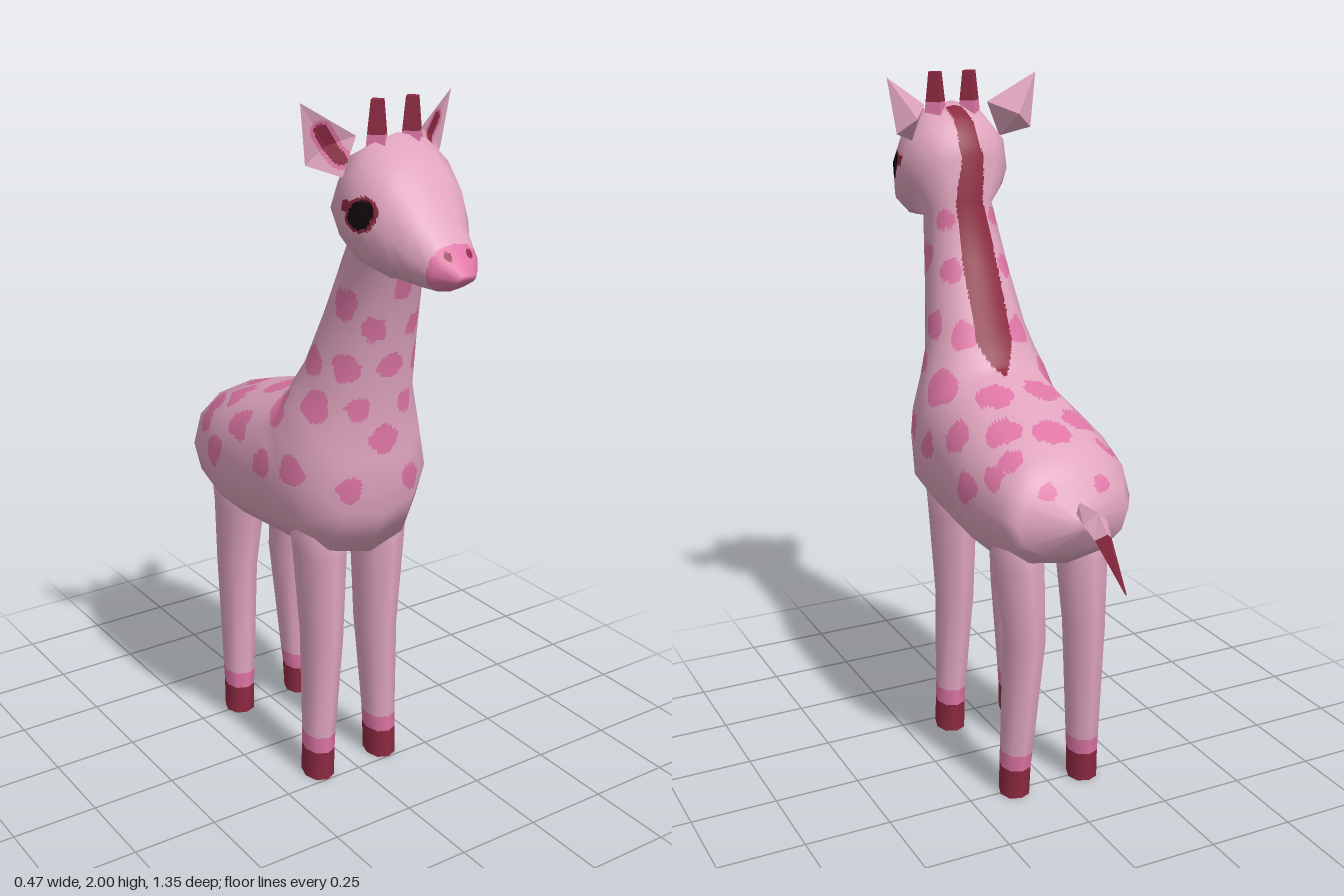
import * as THREE from 'three';

const mat = (name, color) => Object.assign(new THREE.MeshStandardMaterial({ color }), { name });
const SKIN = 0, SPOT = 1, DARK = 2, BLACK = 3;

// Skin through rings [topZ, topY, bottomZ, bottomY, halfWidth, centreX], closed at both ends
function loft(rings, sides, power = 1) {
  const pos = [], idx = [];
  const pw = (v) => Math.sign(v) * Math.abs(v) ** power;
  for (const [zt, yt, zb, yb, w, x = 0] of rings) {
    for (let j = 0; j < sides; j++) {
      const a = (j / sides) * Math.PI * 2, t = pw(Math.cos(a)) / 2;
      pos.push(x + w * pw(Math.sin(a)), (yt + yb) / 2 + (yt - yb) * t, (zt + zb) / 2 + (zt - zb) * t);
    }
  }
  const last = rings.length - 1, cap = rings.length * sides;
  for (const k of [0, last]) {
    const [zt, yt, zb, yb, , x = 0] = rings[k];
    pos.push(x, (yt + yb) / 2, (zt + zb) / 2);
  }
  for (let j = 0; j < sides; j++) {
    const k = (j + 1) % sides;
    for (let i = 0; i < last; i++) {
      const a = i * sides + j, b = i * sides + k;
      idx.push(a, a + sides, b, b, a + sides, b + sides);
    }
    idx.push(cap, j, k, cap + 1, last * sides + k, last * sides + j);
  }
  const g = new THREE.BufferGeometry();
  g.setAttribute('position', new THREE.Float32BufferAttribute(pos, 3));
  g.setIndex(idx);
  g.computeVertexNormals();
  return g;
}

// Cut every triangle into n*n cells, keeping the interpolated normals
function subdivide(geo, n) {
  const g = geo.index ? geo.toNonIndexed() : geo, cells = [];
  const read = (attr, i) => [0, 1, 2].map((k) => new THREE.Vector3().fromBufferAttribute(attr, i + k));
  for (let i = 0; i < g.attributes.position.count; i += 3) {
    const P = read(g.attributes.position, i), N = read(g.attributes.normal, i);
    const mix = (V, u, v) => V[0].clone().multiplyScalar(1 - (u + v) / n)
      .addScaledVector(V[1], u / n).addScaledVector(V[2], v / n);
    const add = (...uv) => {
      const p = uv.map(([u, v]) => mix(P, u, v));
      const c = new THREE.Vector3().add(p[0]).add(p[1]).add(p[2]).divideScalar(3);
      cells.push({ p, c, n: uv.map(([u, v]) => mix(N, u, v).normalize()) });
    };
    for (let u = 0; u < n; u++) for (let v = 0; u + v < n; v++) {
      add([u, v], [u + 1, v], [u, v + 1]);
      if (u + v < n - 1) add([u + 1, v], [u + 1, v + 1], [u, v + 1]);
    }
  }
  return cells;
}

// Sort cells into one geometry group per colour
function paint(name, cells, mats, colourOf) {
  const bins = mats.map(() => []), pos = [], nor = [];
  for (const cell of cells) bins[colourOf(cell.c, cell.n[0])].push(cell);
  const g = new THREE.BufferGeometry();
  bins.forEach((bin, m) => {
    if (bin.length) g.addGroup(pos.length / 3, bin.length * 3, m);
    for (const cell of bin) for (let k = 0; k < 3; k++) {
      pos.push(...cell.p[k].toArray());
      nor.push(...cell.n[k].toArray());
    }
  });
  g.setAttribute('position', new THREE.Float32BufferAttribute(pos, 3));
  g.setAttribute('normal', new THREE.Float32BufferAttribute(nor, 3));
  const mesh = new THREE.Mesh(g, mats);
  mesh.name = name;
  return mesh;
}

// Rump, barrel, neck, head and muzzle in one run
const BODY = [
  [-0.44, 0.90, -0.44, 0.85, 0.03], [-0.39, 0.98, -0.39, 0.77, 0.17], [-0.34, 1.06, -0.35, 0.73, 0.20],
  [-0.18, 1.115, -0.18, 0.685, 0.235], [0.03, 1.18, 0.09, 0.70, 0.232], [0.05, 1.20, 0.29, 0.73, 0.225],
  [0.07, 1.235, 0.355, 0.87, 0.21], [0.09, 1.27, 0.355, 1.02, 0.18], [0.11, 1.32, 0.35, 1.17, 0.15],
  [0.18, 1.47, 0.385, 1.34, 0.125], [0.25, 1.64, 0.435, 1.57, 0.10], [0.225, 1.77, 0.47, 1.565, 0.15],
  [0.29, 1.87, 0.50, 1.56, 0.17], [0.38, 1.915, 0.51, 1.56, 0.16], [0.49, 1.84, 0.535, 1.557, 0.13],
  [0.56, 1.74, 0.565, 1.555, 0.095], [0.64, 1.66, 0.61, 1.558, 0.072], [0.68, 1.615, 0.66, 1.585, 0.03],
];

// Coat spots [x, y, z, radius], mirrored across the middle
const SPOTS = [
  [0.11, 1.475, 0.32, 0.042], [0.08, 1.45, 0.21, 0.035], [0.07, 1.58, 0.27, 0.03], [0, 1.53, 0.43, 0.03],
  [0.12, 1.30, 0.33, 0.04], [0.14, 1.295, 0.21, 0.042], [0.09, 1.28, 0.11, 0.042], [0.07, 1.41, 0.39, 0.035],
  [0, 1.30, 0.38, 0.04], [0.09, 1.18, 0.36, 0.035], [0.15, 1.18, 0.24, 0.045], [0.16, 1.13, 0.10, 0.055],
  [0, 1.085, 0.36, 0.045], [0.108, 0.955, 0.34, 0.037], [0.22, 0.99, 0.217, 0.045], [0.23, 0.98, 0.075, 0.04],
  [0.2, 1.045, -0.075, 0.05], [0.23, 0.935, -0.18, 0.045], [0.2, 0.99, -0.29, 0.037], [0.12, 1.09, -0.2, 0.052],
  [0.078, 1.14, -0.053, 0.054], [0, 1.09, -0.267, 0.052], [0.15, 1.04, -0.30, 0.035], [0.085, 0.97, -0.40, 0.025],
];

function makeBody(mats) {
  const cells = subdivide(loft(BODY, 12, 0.88), 12);
  // Move each spot centre onto the skin
  const spots = SPOTS.map(([x, y, z, r]) => {
    const want = new THREE.Vector3(x, y, z);
    let best = cells[0].c;
    for (const { c } of cells) if (c.distanceToSquared(want) < best.distanceToSquared(want)) best = c;
    return { c: new THREE.Vector3(x ? Math.abs(best.x) : 0, best.y, best.z), r };
  });
  const q = new THREE.Vector3();
  return paint('body', cells, mats, (c) => {
    const ax = Math.abs(c.x);
    // Eyes with a pointed rear corner
    if (ax > 0.09 && c.y > 1.65) {
      const dz = c.z - 0.44, dy = c.y - 1.735, d = Math.hypot(dz, dy);
      if (d < 0.036) return BLACK;
      if (d < 0.045 || (dz < 0 && dz > -0.065 && Math.abs(dy - 0.015) < 0.014)) return DARK;
    }
    // Nostrils and nose
    if (c.z > 0.62 && Math.hypot(ax - 0.033, c.y - 1.655) < 0.01) return DARK;
    if (c.z > 0.6 + (c.y - 1.57) * 0.2) return SPOT;
    // Mane
    const back = Math.min(0.36, 0.13 + (c.y - 1.17) * 0.45);
    const width = (0.055 - Math.max(0, c.y - 1.45) * 0.065) * Math.sqrt(Math.min(1, Math.max(0, (c.y - 1.175) / 0.08)));
    if (c.z < back && ax < width) return DARK;
    // Spots with uneven edges
    q.set(ax, c.y, c.z);
    for (const s of spots) {
      const a = Math.atan2(q.y - s.c.y, q.z - s.c.z + q.x - s.c.x);
      if (q.distanceTo(s.c) < s.r * (1 + 0.1 * Math.sin(3 * a + s.c.z * 40))) return SPOT;
    }
    return SKIN;
  });
}

// Legs: rings [frontZ, backZ, y, halfWidth, centreX], ending in a flat hoof sole
const FRONT_LEG = [
  [0.27, 0.09, 0.84, 0.07, 0.11], [0.27, 0.10, 0.72, 0.07, 0.10], [0.262, 0.115, 0.45, 0.054, 0.095],
  [0.25, 0.14, 0.14, 0.044, 0.108], [0.25, 0.14, 0.09, 0.043, 0.11], [0.25, 0.142, 0, 0.043, 0.112],
];
const HIND_LEG = [
  [-0.16, -0.34, 0.84, 0.07, 0.11], [-0.17, -0.337, 0.71, 0.07, 0.10], [-0.21, -0.355, 0.50, 0.055, 0.095],
  [-0.205, -0.315, 0.14, 0.044, 0.108], [-0.205, -0.308, 0.09, 0.043, 0.11], [-0.207, -0.302, 0, 0.043, 0.112],
];
function makeLeg(name, profile, side, mats) {
  const rings = profile.map(([zf, zb, y, w, x]) => [zf, y, zb, y, w, x * side]);
  rings.push(rings[rings.length - 1]);
  return paint(name, subdivide(loft(rings, 8, 0.9), 1), mats,
    (c) => (c.y < 0.09 ? DARK : c.y < 0.14 ? SPOT : SKIN));
}

// Folded leaf-shaped ear with a painted inside
function makeEar(name, side, mats) {
  const rim = [[0.14, 1.81, 0.345], [0.212, 1.838, 0.285], [0.234, 1.995, 0.297], [0.10, 1.91, 0.345]];
  const front = [0.165, 1.885, 0.305], rear = [0.16, 1.88, 0.255], pos = [];
  rim.forEach((a, i) => {
    const b = rim[(i + 1) % 4];
    for (const tri of [[front, a, b], [rear, b, a]]) {
      if (side < 0) tri.reverse();
      for (const [x, y, z] of tri) pos.push(x * side, y, z);
    }
  });
  const g = new THREE.BufferGeometry();
  g.setAttribute('position', new THREE.Float32BufferAttribute(pos, 3));
  g.computeVertexNormals();
  const axis = new THREE.Line3(new THREE.Vector3(0.14, 1.855, 0), new THREE.Vector3(0.18, 1.925, 0));
  const near = new THREE.Vector3();
  return paint(name, subdivide(g, 14), mats, (c, n) => {
    if (n.z < 0) return SKIN;
    const p = new THREE.Vector3(Math.abs(c.x), c.y, 0);
    const d = axis.closestPointToPoint(p, true, near).distanceTo(p);
    return d < 0.016 ? DARK : d < 0.026 ? SPOT : SKIN;
  });
}

// Four-sided horn with a pink base
function makeHorn(name, side, mats) {
  const horn = new THREE.Group();
  horn.name = name;
  for (const [part, top, bottom, y0, y1, m] of [['hornBase', 0.031, 0.036, 1.87, 1.915, SPOT], ['hornTip', 0.021, 0.031, 1.915, 2, DARK]]) {
    const mesh = new THREE.Mesh(new THREE.CylinderGeometry(top, bottom, y1 - y0, 4).toNonIndexed(), mats[m]);
    mesh.geometry.computeVertexNormals();
    mesh.name = part;
    mesh.position.set(0.054 * side, (y0 + y1) / 2, 0.37);
    horn.add(mesh);
  }
  return horn;
}

export function createModel() {
  const mats = [mat('palePink', 0xe0a5be), mat('spotPink', 0xdf76a6), mat('darkRed', 0x8e2a42), mat('black', 0x120a0d)];
  const model = new THREE.Group();
  model.name = 'giraffe';
  model.add(makeBody(mats));
  for (const [word, side] of [['left', 1], ['right', -1]]) {
    model.add(
      makeLeg(word + 'FrontLeg', FRONT_LEG, side, mats), makeLeg(word + 'HindLeg', HIND_LEG, side, mats),
      makeEar(word + 'Ear', side, mats), makeHorn(word + 'Horn', side, mats));
  }
  // Tail, from the dark tuft to the root
  const tail = loft([[-0.67, 0.762, -0.668, 0.758, 0.002], [-0.57, 0.892, -0.525, 0.85, 0.025],
    [-0.52, 0.935, -0.49, 0.868, 0.036], [-0.41, 0.93, -0.41, 0.885, 0.012]], 4).toNonIndexed();
  tail.computeVertexNormals();
  model.add(paint('tail', subdivide(tail, 1), mats, (c) => (c.z < -0.555 ? DARK : SKIN)));
  return model;
}
